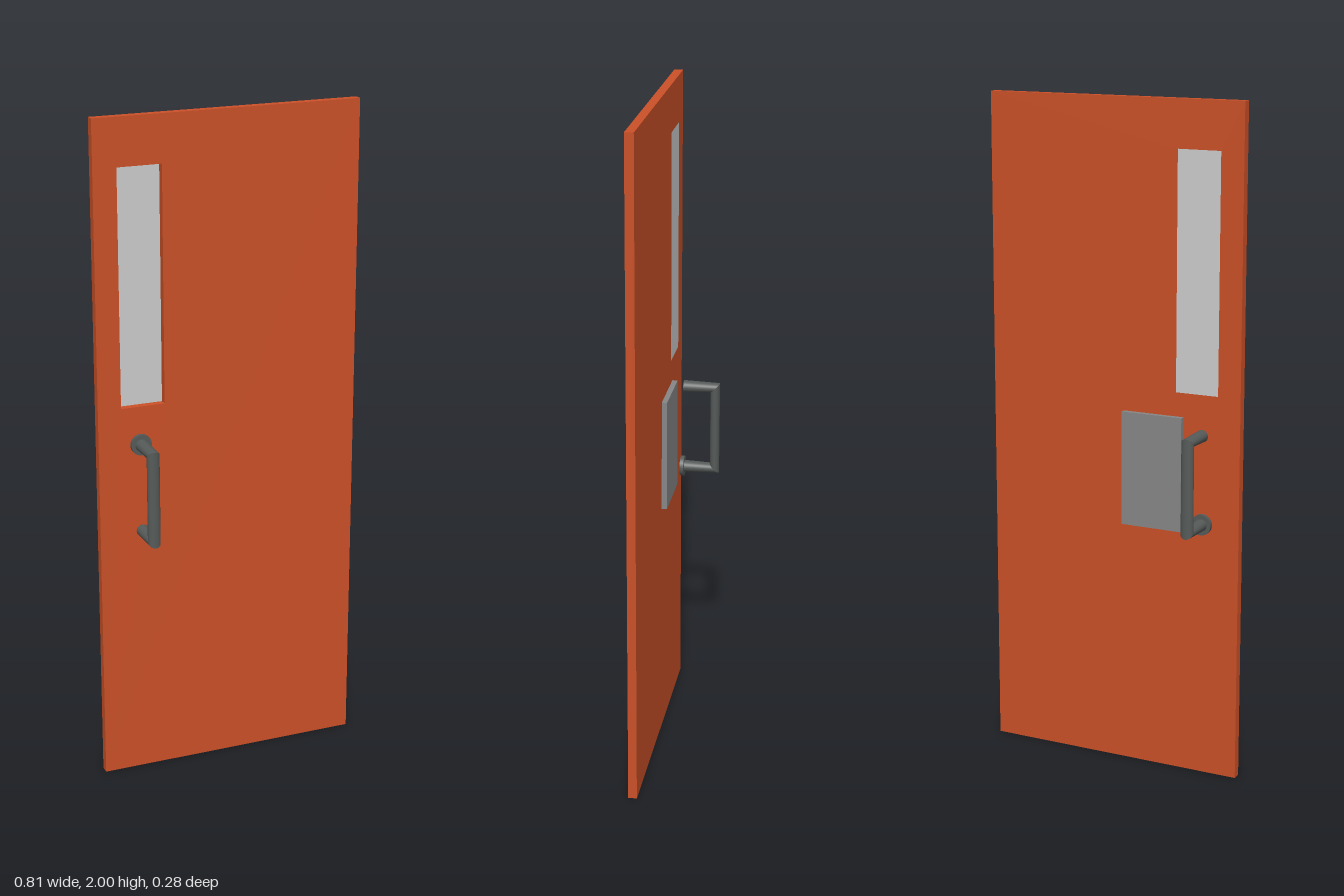
import * as THREE from 'three';

const mat = (color, side = THREE.FrontSide) => new THREE.MeshStandardMaterial({ color, side });

function add(parent, name, geometry, material, x = 0, y = 0, z = 0) {
  const mesh = new THREE.Mesh(geometry, material);
  mesh.name = name;
  mesh.position.set(x, y, z);
  parent.add(mesh);
  return mesh;
}

function rectPoints(Path, x0, y0, x1, y1) {
  return new Path().moveTo(x0, y0).lineTo(x1, y0).lineTo(x1, y1).lineTo(x0, y1).closePath();
}

// Oval bar swept between stations [y, z, offsetY, offsetZ]; the offset is the in-plane half width
function ovalSweep(stations, halfWidth, sides = 28) {
  const pos = [], index = [];
  for (const [y, z, oy, oz] of stations) {
    for (let i = 0; i <= sides; i++) {
      const a = (i / sides) * Math.PI * 2;
      pos.push(Math.cos(a) * halfWidth, y + Math.sin(a) * oy, z + Math.sin(a) * oz);
    }
  }
  const row = sides + 1;
  for (let s = 0; s < stations.length - 1; s++) {
    for (let i = 0; i < sides; i++) {
      const a = s * row + i, b = a + 1, c = a + row, d = c + 1;
      index.push(a, b, c, b, d, c);
    }
  }
  const g = new THREE.BufferGeometry();
  g.setAttribute('position', new THREE.Float32BufferAttribute(pos, 3));
  g.setIndex(index);
  g.computeVertexNormals();
  return g;
}

// D-shaped pull centred on y = 0, rising toward +z, with a rosette on its upper arm
function makeHandle(name, material) {
  const handle = new THREE.Group();
  handle.name = name;
  const armY = 0.133, barZ = 0.127, h = 0.0145, base = 0.03, endH = 0.018;
  const sections = {
    upperArm: [[armY, base, endH, 0], [armY, barZ, h, h]],
    grip: [[armY, barZ, h, h], [-armY, barZ, -h, h]],
    lowerArm: [[-armY, barZ, -h, h], [-armY, base, -endH, 0]],
  };
  for (const [part, stations] of Object.entries(sections)) {
    add(handle, part, ovalSweep(stations, 0.019), material);
  }
  // Closing disc on the free arm end
  const cap = add(handle, 'lowerArmEnd', new THREE.CircleGeometry(0.0185, 28), material, 0, -armY, base);
  cap.rotation.y = Math.PI;
  const disc = new THREE.CylinderGeometry(0.031, 0.031, 0.012, 32).rotateX(Math.PI / 2);
  add(handle, 'rosette', disc, material, 0, armY, 0.027);
  return handle;
}

export function createModel() {
  const door = new THREE.Group();
  door.name = 'door';
  const metal = mat(0x555a58, THREE.DoubleSide);

  // Door leaf with the window opening cut through
  const leaf = rectPoints(THREE.Shape, -0.403, 0, 0.403, 2);
  leaf.holes.push(rectPoints(THREE.Path, -0.333, 1.16, -0.2, 1.86));
  const leafGeo = new THREE.ExtrudeGeometry(leaf, { depth: 0.026, bevelEnabled: false });
  add(door, 'leaf', leafGeo, mat(0xca5027), 0, 0, -0.005);

  // Window pane, flush with the back face
  add(door, 'windowPane', new THREE.BoxGeometry(0.133, 0.7, 0.004), mat(0xcccccc), -0.2665, 1.51, -0.003);

  // Push plate on the back
  add(door, 'pushPlate', new THREE.BoxGeometry(0.193, 0.343, 0.016), mat(0x868686), -0.1285, 0.917, -0.013);

  // Front handle, and the back one turned half round about the x axis
  const front = makeHandle('frontHandle', metal);
  front.position.set(-0.276, 0.913, 0);
  const back = makeHandle('backHandle', metal);
  back.position.set(-0.295, 0.913, 0);
  back.rotation.x = Math.PI;
  door.add(front, back);
  return door;
}
